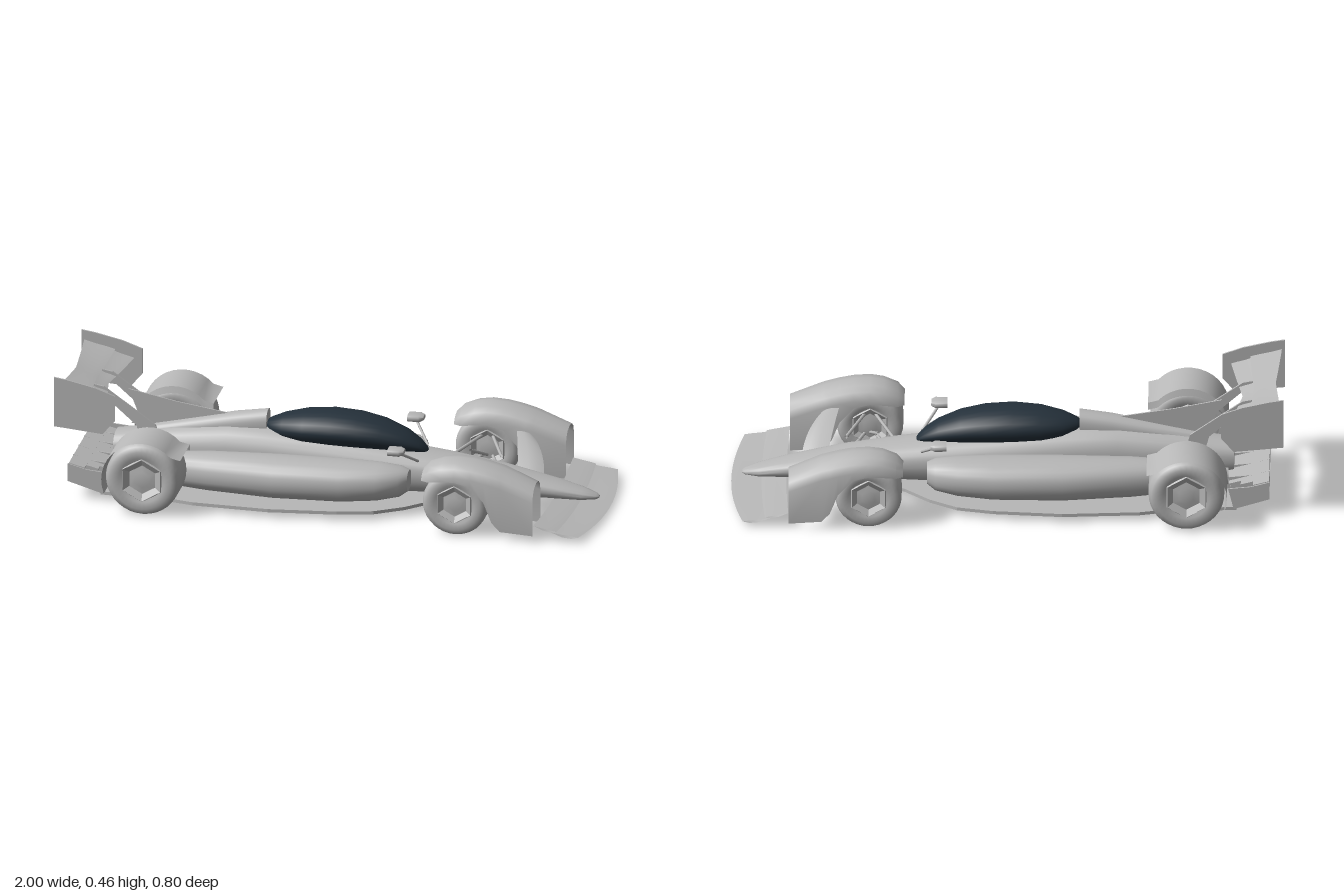
import * as THREE from 'three';
import { toCreasedNormals } from 'three/addons/utils/BufferGeometryUtils.js';

const grey = new THREE.MeshStandardMaterial({ color: 0xb8b8b8, side: THREE.DoubleSide });
grey.name = 'light grey bodywork';
const dark = new THREE.MeshStandardMaterial({ color: 0x25313b });
dark.name = 'dark glass';

// Grid surface through rows of [x, y, z] points
function surface(rows, crease = 0.6) {
  const n = rows[0].length, index = [];
  for (let i = 0; i < rows.length - 1; i++) {
    for (let j = 0; j < n - 1; j++) {
      const a = i * n + j, b = a + n;
      index.push(a, b, b + 1, a, b + 1, a + 1);
    }
  }
  const g = new THREE.BufferGeometry();
  g.setAttribute('position', new THREE.Float32BufferAttribute(rows.flat(2), 3));
  g.setIndex(index);
  return toCreasedNormals(g, crease);
}

// Closed loft along +x; stations are [x, bottom, top, halfWidth, zCentre]
function loft(stations, power = 0.8, crease = 0.7) {
  const first = stations[0], last = stations[stations.length - 1];
  const tip = (s) => [s[0], (s[1] + s[2]) / 2, (s[1] + s[2]) / 2, 0, s[4]];
  const round = (v) => Math.sign(v) * Math.abs(v) ** power;
  return surface([tip(first), ...stations, tip(last)].map(([x, lo, hi, w, zc = 0]) =>
    Array.from({ length: 25 }, (_, k) => {
      const t = (k % 24) / 24 * Math.PI * 2;
      return [x, (lo + hi) / 2 + round(Math.sin(t)) * (hi - lo) / 2, zc + round(Math.cos(t)) * w];
    })), crease);
}

// Cambered blade across z; each edge function takes u in -1..1 and returns [x, y]
function blade(zAt, lead, trail, thick, camber = 0) {
  const rows = [];
  for (let i = 0; i <= 12; i++) {
    const u = i / 6 - 1, [ax, ay] = lead(u), [bx, by] = trail(u);
    const at = (f, d) => [ax + (bx - ax) * f, ay + (by - ay) * f - camber * 4 * f * (1 - f) + d, zAt(u)];
    rows.push([at(0, 0), at(0.25, thick / 2), at(0.6, thick / 2), at(1, 0), at(0.6, -thick / 2), at(0.25, -thick / 2), at(0, 0)]);
  }
  return surface(rows);
}

// Plate cut from an x-y outline, standing at z
function plate(points, z, thick) {
  const shape = new THREE.Shape(points.map(([x, y]) => new THREE.Vector2(x, y)));
  return new THREE.ExtrudeGeometry(shape, { depth: thick, bevelEnabled: false }).translate(0, 0, z - thick / 2);
}

function rod(a, b, r) {
  const path = new THREE.LineCurve3(new THREE.Vector3(...a), new THREE.Vector3(...b));
  return new THREE.TubeGeometry(path, 1, r, 8);
}

// Tyre with a six-sided dished rim, lying along z
function wheel(name, r, half) {
  const g = new THREE.Group();
  g.name = name;
  const turn = (pts, seg, crease, part) => {
    const geo = new THREE.LatheGeometry(pts.map(([a, b]) => new THREE.Vector2(a * r, b * half)), seg);
    const m = new THREE.Mesh(toCreasedNormals(geo.rotateX(Math.PI / 2), crease), grey);
    m.name = part;
    g.add(m);
  };
  turn([[0.45, -0.86], [0.62, -0.95], [0.8, -1], [0.93, -0.9], [1, -0.65], [1, 0.65], [0.93, 0.9], [0.8, 1], [0.62, 0.95], [0.45, 0.86]], 36, 0.8, 'tyre');
  for (const s of [-1, 1]) {
    turn([[0.62, 0.88 * s], [0.58, 0.99 * s], [0.4, 0.82 * s], [0.22, 0.86 * s], [0, 0.9 * s]], 6, 0.3, 'rim');
  }
  return g;
}

export function createModel() {
  const car = new THREE.Group();
  car.name = 'openWheelRaceCar';
  const add = (name, geo, mat = grey) => {
    const m = new THREE.Mesh(geo, mat);
    m.name = name;
    car.add(m);
    return m;
  };

  // Central body, canopy, air intake and fin
  add('body', loft([
    [-0.82, 0.07, 0.19, 0.07], [-0.6, 0.045, 0.225, 0.09], [-0.4, 0.035, 0.25, 0.1], [-0.25, 0.035, 0.25, 0.108],
    [0, 0.035, 0.23, 0.112], [0.25, 0.04, 0.2, 0.106], [0.4, 0.045, 0.182, 0.096], [0.6, 0.05, 0.152, 0.082],
    [0.8, 0.047, 0.108, 0.062], [0.9, 0.045, 0.082, 0.044], [0.95, 0.048, 0.066, 0.022], [0.96, 0.052, 0.06, 0.01]]));
  add('canopy', loft([
    [-0.27, 0.24, 0.26, 0.012], [-0.25, 0.22, 0.275, 0.04], [-0.2, 0.203, 0.295, 0.072], [-0.12, 0.195, 0.313, 0.098],
    [-0.02, 0.192, 0.321, 0.108], [0.08, 0.19, 0.314, 0.105], [0.17, 0.188, 0.295, 0.09], [0.25, 0.185, 0.262, 0.066],
    [0.3, 0.183, 0.228, 0.042], [0.325, 0.182, 0.202, 0.02], [0.33, 0.183, 0.195, 0.008]], 1, 1.2), dark);
  add('airIntake', loft([[-0.72, 0.16, 0.215, 0.03], [-0.5, 0.18, 0.262, 0.04], [-0.38, 0.19, 0.288, 0.044], [-0.26, 0.2, 0.306, 0.042]]));
  add('tailFin', plate([[-0.28, 0.26], [-0.42, 0.283], [-0.6, 0.312], [-0.775, 0.348], [-0.74, 0.26], [-0.7, 0.19]], 0, 0.006));

  // Floor
  const edge = [[0.46, 0.05], [0.37, 0.11], [0.28, 0.2], [0.18, 0.265], [0.05, 0.295], [-0.2, 0.318], [-0.48, 0.3], [-0.6, 0.27], [-0.83, 0.25]];
  const outline = [...edge, ...edge.map(([x, z]) => [x, -z]).reverse()];
  add('floor', plate(outline, 0, 0.012).rotateX(Math.PI / 2).translate(0, 0.032, 0));

  // Diffuser ramp, stepped slats and strakes
  add('diffuserRamp', blade((u) => u * 0.25, () => [-0.81, 0.032], () => [-0.95, 0.075], 0.008));
  for (let i = 0; i < 3; i++) {
    add('diffuserSlat', new THREE.BoxGeometry(0.06, 0.007, 0.48 - i * 0.06)
      .rotateZ(-0.25).translate(-0.92 + i * 0.045, 0.125 - i * 0.012, 0));
  }
  for (const z of [-0.25, -0.15, -0.05, 0.05, 0.15, 0.25]) {
    add('diffuserStrake', plate([[-0.95, 0.07], [-0.82, 0.03], [-0.8, 0.11], [-0.88, 0.118], [-0.95, 0.137]], z, 0.006));
  }

  // Front and rear wings, each from two blades
  const bow = (u) => u * u;
  add('frontWingMain', blade((u) => u * 0.37, (u) => [1 - 0.045 * bow(u), 0.018 + 0.01 * bow(u)],
    (u) => [0.87 - 0.015 * bow(u), 0.032 + 0.01 * bow(u)], 0.01, 0.006));
  add('frontWingFlap', blade((u) => u * 0.37, (u) => [0.89 - 0.015 * bow(u), 0.034 + 0.01 * bow(u)],
    (u) => [0.8 - 0.01 * bow(u), 0.052 + 0.01 * bow(u)], 0.008, 0.004));
  add('rearWingMain', blade((u) => u * 0.257, (u) => [-0.85 + 0.045 * Math.abs(u), 0.362 + 0.012 * bow(u)],
    (u) => [-0.91 + 0.02 * Math.abs(u), 0.386 + 0.015 * bow(u)], 0.012, 0.008));
  add('rearWingFlap', blade((u) => u * 0.257, (u) => [-0.89 + 0.015 * Math.abs(u), 0.388 + 0.015 * bow(u)],
    (u) => [-0.97 - 0.02 * Math.abs(u), 0.416 + 0.016 * bow(u)], 0.01, 0.006));

  for (const s of [1, -1]) {
    // Side pod
    add('sidePod', loft([
      [-0.8, 0.06, 0.12, 0.025, s * 0.1], [-0.65, 0.045, 0.155, 0.05, s * 0.12], [-0.45, 0.04, 0.176, 0.08, s * 0.145],
      [-0.2, 0.04, 0.188, 0.1, s * 0.17], [0.05, 0.045, 0.19, 0.1, s * 0.175], [0.18, 0.055, 0.187, 0.085, s * 0.172],
      [0.26, 0.07, 0.178, 0.065, s * 0.165], [0.29, 0.09, 0.165, 0.042, s * 0.16]], 0.85));

    // Wheels
    const rear = wheel('rearWheel', 0.137, 0.09);
    rear.position.set(-0.65, 0.142, s * 0.307);
    const front = wheel('frontWheel', 0.12, 0.077);
    front.position.set(0.5, 0.125, s * 0.306);
    car.add(rear, front);

    // Front fender: open arch that drops ahead of the wheel
    add('frontFender', surface([
      [0.375, 0.235, 0.245, 0.365, 0.205], [0.4, 0.262, 0.23, 0.38, 0.205], [0.45, 0.28, 0.225, 0.388, 0.212],
      [0.5, 0.286, 0.225, 0.392, 0.215], [0.56, 0.282, 0.225, 0.392, 0.2], [0.61, 0.272, 0.225, 0.392, 0.145],
      [0.64, 0.264, 0.225, 0.392, 0.07], [0.67, 0.256, 0.225, 0.39, 0.037], [0.79, 0.208, 0.235, 0.387, 0.028]]
      .map(([x, top, a, b, low]) => {
        const drop = Math.min(0.055, top - low), c = 0.035;
        return [[a, low], [a, top - drop], [a + c * 0.35, top - drop * 0.45], [a + c, top - drop * 0.15], [(a + b) / 2, top],
          [b - c, top - drop * 0.15], [b - c * 0.35, top - drop * 0.45], [b, top - drop], [b, low]].map(([z, y]) => [x, y, s * z]);
      }), 0.7));

    // Rear fender: thin band over and behind the wheel, with a toothed inner edge
    const band = [];
    for (let i = 0; i <= 16; i++) {
      const t = 0.56 + i / 16 * 2.95, r = i === 0 ? 0.17 : 0.147;
      const x = -0.65 + r * Math.cos(t), y = 0.14 + r * Math.sin(t);
      band.push([[x, y - 0.025, s * 0.215], [x, y, s * 0.222], [x, y, s * 0.402]]);
    }
    add('rearFender', surface(band, 0.5));
    for (let i = 0; i < 4; i++) {
      const y = 0.1 + i * 0.035, x = -0.79 + i * i * 0.006;
      add('fenderTooth', plate([[x + 0.05, y], [x - 0.025, y], [x + 0.01, y + 0.032], [x + 0.05, y + 0.032]], s * 0.222, 0.006));
    }

    // Curved arm joining the nose and the front fender
    add('noseArm', blade((u) => s * (0.145 + 0.09 * u),
      (u) => [0.72 - 0.04 * u - 0.015 * u * u, 0.15 + 0.05 * u - 0.008 * u * u],
      (u) => [0.63 - 0.02 * u, 0.165 + 0.05 * u - 0.008 * u * u], 0.012));

    // Suspension links
    for (const [x, y, dy] of [[0.5, 0.085, 0.01], [0.5, 0.16, 0.012], [-0.65, 0.09, 0.01], [-0.65, 0.18, 0.0]]) {
      for (const d of [-0.085, 0.085]) {
        add('suspensionLink', rod([x + d, y, s * 0.07], [x + d * 0.2, y + dy, s * 0.25], 0.006));
      }
    }
    add('pushRod', rod([0.47, 0.17, s * 0.08], [0.5, 0.095, s * 0.25], 0.006));
    add('pushRod', rod([-0.6, 0.2, s * 0.07], [-0.65, 0.1, s * 0.24], 0.006));

    // Mirror on a stalk
    add('mirror', loft([[0.22, 0.232, 0.258, 0.028, s * 0.186], [0.262, 0.231, 0.259, 0.03, s * 0.186], [0.278, 0.238, 0.253, 0.02, s * 0.186]], 0.6));
    add('mirrorStalk', rod([0.25, 0.238, s * 0.178], [0.31, 0.178, s * 0.09], 0.005));

    // Rear wing end plate and pylon
    add('endPlate', plate([[-1, 0.468], [-0.95, 0.46], [-0.85, 0.437], [-0.775, 0.41], [-0.775, 0.315], [-0.82, 0.262], [-1, 0.28]], s * 0.257, 0.007));
    add('wingPylon', plate([[-0.9, 0.39], [-0.85, 0.38], [-0.66, 0.245], [-0.64, 0.17], [-0.71, 0.17], [-0.73, 0.24]], s * 0.08, 0.008));
  }
  return car;
}
